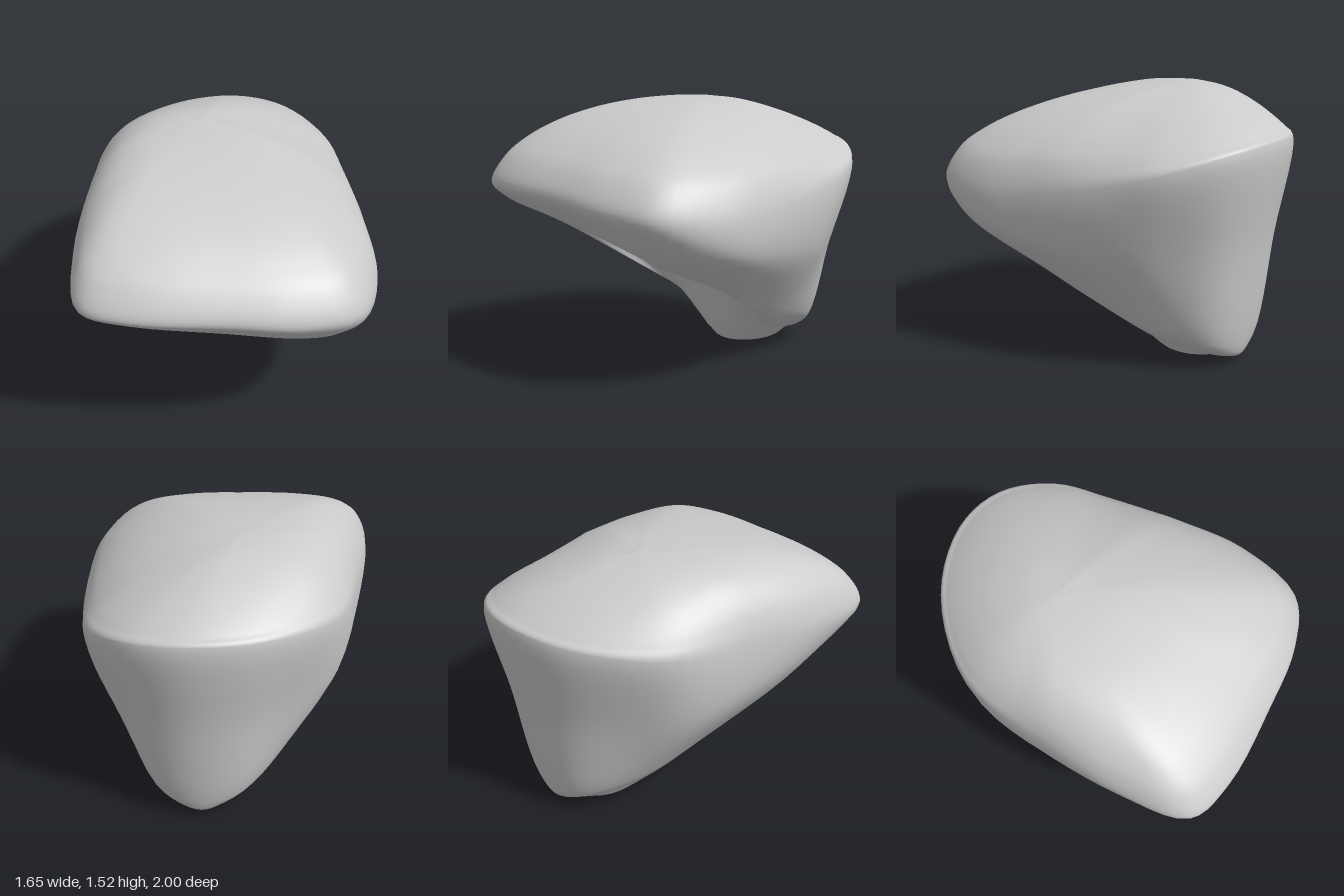
import * as THREE from 'three';
import { mergeVertices } from 'three/addons/utils/BufferGeometryUtils.js';

const V = (x, y, z) => new THREE.Vector3(x, y, z);
const COLUMNS = 75, ROWS = 84;

// Control loops, each running front -> +x -> back -> -x.
const rimPoints = [ // widest outline of the cap
  [0, 1.03, 0.99], [0.4, 0.99, 0.96], [0.69, 0.96, 0.83], [0.82, 0.92, 0.46], [0.79, 0.96, 0.08],
  [0.7, 1.05, -0.4], [0.6, 1.13, -0.7], [0.36, 1.22, -0.93], [0.05, 1.26, -1], [-0.35, 1.25, -0.88],
  [-0.7, 1.2, -0.52], [-0.79, 1.14, 0], [-0.825, 1.08, 0.5], [-0.76, 1.04, 0.88], [-0.5, 1.04, 0.98],
];
const lipPoints = [ // lower edge of the overhang, running down to the base at the back
  [0, 0.85, 0.82], [0.32, 0.77, 0.76], [0.49, 0.66, 0.61], [0.53, 0.54, 0.32], [0.49, 0.4, 0.02],
  [0.44, 0.3, -0.3], [0.36, 0.22, -0.58], [0.22, 0.15, -0.77], [0.01, 0.12, -0.825], [-0.2, 0.15, -0.76],
  [-0.41, 0.26, -0.5], [-0.54, 0.44, -0.08], [-0.7, 0.73, 0.4], [-0.66, 0.88, 0.72], [-0.42, 0.9, 0.82],
];
const hollowPoints = [ // hollow under the overhang, in front of the foot
  [-0.02, 0.72, 0.1], [0.2, 0.68, 0.12], [0.34, 0.59, 0.12], [0.41, 0.46, 0.03], [0.39, 0.31, -0.12],
  [0.34, 0.19, -0.36], [0.27, 0.13, -0.57], [0.14, 0.07, -0.74], [-0.01, 0.045, -0.79], [-0.15, 0.07, -0.71],
  [-0.34, 0.17, -0.47], [-0.44, 0.3, -0.24], [-0.54, 0.6, 0.06], [-0.46, 0.72, 0.13], [-0.24, 0.75, 0.11],
];

const loop = (points) => new THREE.CatmullRomCurve3(points.map((p) => V(...p)), true);
const rim = loop(rimPoints), lip = loop(lipPoints), hollow = loop(hollowPoints);
const peak = V(-0.14, 1.515, -0.26);

// Point on the domed top, t = 0 at the peak and 1 at the rim
function topPoint(edge, t) {
  const back = Math.max(0, -edge.z), front = Math.max(0, edge.z);
  const left = Math.max(0, edge.x), right = Math.max(0, -edge.x);
  const power = 2 + 2.2 * right * (1 - 0.8 * front) * (1 - back) - 0.3 * back - 0.55 * left;
  const drop = 1 - Math.pow(1 - Math.pow(t, power), 0.6 + 0.32 * back - 0.13 * left);
  const p = peak.clone().lerp(edge, t);
  p.y = peak.y + (edge.y - peak.y) * drop;
  return p;
}

// Profile from the peak over the rim and lip, through the hollow, to the base
function profile(u) {
  const edge = rim.getPoint(u), low = lip.getPoint(u);
  const points = [0, 0.25, 0.5, 0.7, 0.84, 0.94].map((t) => topPoint(edge, t));
  points.push(edge);

  // The side walls bulge; the back stays nearly flat
  const wall = edge.clone().lerp(low, 0.5);
  const bulge = 1.02 + 0.14 * THREE.MathUtils.smoothstep(wall.z, -0.75, -0.35);
  wall.x = Math.sign(wall.x) * Math.min(Math.abs(wall.x) * bulge, Math.abs(edge.x) * 0.96);
  if (wall.z > 0) wall.z *= 1.03;
  points.push(wall, low, hollow.getPoint(u));

  // Rounded foot
  const a = u * Math.PI * 2;
  const foot = (s, y) => V(-0.03 + 0.19 * s * Math.sin(a), y, -0.48 + 0.21 * s * Math.cos(a));
  points.push(foot(1, 0.04), foot(0.5, 0.01), foot(0, 0));
  return new THREE.CatmullRomCurve3(points);
}

function stoneGeometry() {
  const positions = [], indices = [];
  for (let i = 0; i < COLUMNS; i++) {
    const curve = profile(i / COLUMNS);
    for (let j = 0; j <= ROWS; j++) {
      const p = curve.getPoint(j / ROWS);
      positions.push(p.x, Math.max(0, p.y), p.z);
    }
  }
  const id = (i, j) => (i % COLUMNS) * (ROWS + 1) + j;
  for (let i = 0; i < COLUMNS; i++) {
    for (let j = 0; j < ROWS; j++) {
      const a = id(i, j), b = id(i, j + 1), c = id(i + 1, j), d = id(i + 1, j + 1);
      if (j > 0) indices.push(a, b, c);
      if (j < ROWS - 1) indices.push(b, d, c);
    }
  }
  const geometry = new THREE.BufferGeometry();
  geometry.setAttribute('position', new THREE.Float32BufferAttribute(positions, 3));
  geometry.setIndex(indices);
  const merged = mergeVertices(geometry, 1e-5);
  merged.computeVertexNormals();
  return merged;
}

export function createModel() {
  const group = new THREE.Group();
  group.name = 'boulder';
  const stone = new THREE.Mesh(stoneGeometry(), new THREE.MeshStandardMaterial({ color: 0xcccccc }));
  stone.name = 'stone';
  group.add(stone);
  return group;
}
